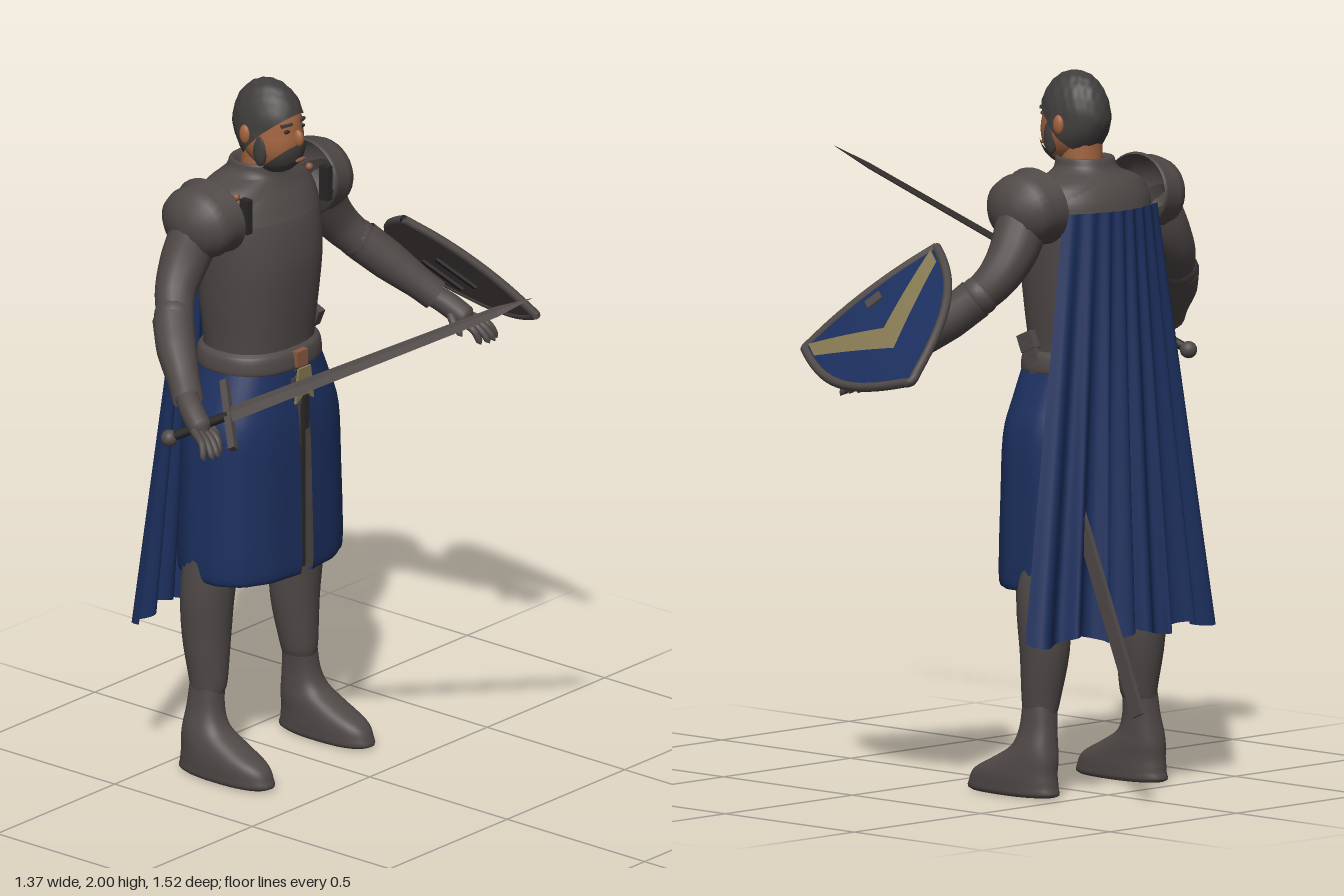
import * as THREE from 'three';
import { mergeVertices, toCreasedNormals } from 'three/addons/utils/BufferGeometryUtils.js';

const CX = -0.05; // body's plane of symmetry
const mat = (name, color, side = THREE.FrontSide) => {
  const m = new THREE.MeshStandardMaterial({ color, side });
  m.name = name;
  return m;
};

export function createModel() {
  const root = new THREE.Group();
  root.name = 'knight';
  const steel = mat('dark steel', 0x4f4947, THREE.DoubleSide);
  const hairMat = mat('dark hair', 0x413e3d);
  const blue = mat('navy cloth', 0x1c2f5e, THREE.DoubleSide);
  const tan = mat('tan', 0x857852, THREE.DoubleSide);
  const skin = mat('skin', 0xa0633f);
  const brown = mat('copper leather', 0x8a5a40);
  const dark = mat('black leather', 0x292626);

  const add = (name, geo, m, parent = root, x = 0, y = 0, z = 0) => {
    const o = new THREE.Mesh(geo, m);
    o.name = name;
    o.position.set(x, y, z);
    parent.add(o);
    return o;
  };
  const smooth = (g) => {
    g.deleteAttribute('uv');
    g.deleteAttribute('normal');
    const out = mergeVertices(g, 1e-5);
    out.computeVertexNormals();
    return out;
  };
  const box = (w, h, d) => new THREE.BoxGeometry(w, h, d);
  const ball = (a, b, c) => new THREE.SphereGeometry(1, 20, 14).scale(a, b, c);

  // Surface grid from a rule f(u, v) -> [x, y, z]
  const grid = (nu, nv, f) => {
    const pos = [], idx = [];
    for (let j = 0; j <= nv; j++) for (let i = 0; i <= nu; i++) pos.push(...f(i / nu, j / nv));
    for (let j = 0; j < nv; j++) for (let i = 0; i < nu; i++) {
      const a = j * (nu + 1) + i, b = a + 1, c = a + nu + 1, d = c + 1;
      idx.push(a, b, c, b, d, c);
    }
    const g = new THREE.BufferGeometry();
    g.setAttribute('position', new THREE.Float32BufferAttribute(pos, 3));
    g.setIndex(idx);
    return smooth(g);
  };
  // Loft through rising sections [y, x, z, halfWidth, halfDepth]
  const loft = (rows, { gap = 0, e = 1, ripple = 0 } = {}) => {
    const n = rows.length - 1;
    const spline = new THREE.CubicInterpolant(rows.map((_, i) => i), rows.flat(), 5);
    const pw = (q) => Math.sign(q) * Math.abs(q) ** e;
    return grid(48, n * 4, (u, v) => {
      const [y, x, z, rx, rz] = spline.evaluate(v * n);
      const a = gap + u * (2 * Math.PI - 2 * gap);
      const k = 1 + ripple * (1 - v) * Math.cos(a * 14);
      return [x + rx * k * pw(Math.sin(a)), y, z + rz * k * pw(Math.cos(a))];
    });
  };
  // Round limb through points [x, y, z, radius]
  const limb = (pts, seg = 16, sides = 16) => {
    const curve = new THREE.CatmullRomCurve3(pts.map((p) => new THREE.Vector3(p[0], p[1], p[2])));
    const g = new THREE.TubeGeometry(curve, seg, 1, sides);
    const p = g.attributes.position, v = new THREE.Vector3();
    for (let i = 0; i <= seg; i++) {
      const c = curve.getPointAt(i / seg);
      const t = curve.getUtoTmapping(i / seg) * (pts.length - 1);
      const k = Math.min(Math.floor(t), pts.length - 2);
      const r = THREE.MathUtils.lerp(pts[k][3], pts[k + 1][3], t - k);
      for (let j = 0; j <= sides; j++) {
        const q = i * (sides + 1) + j;
        v.fromBufferAttribute(p, q).sub(c).multiplyScalar(r).add(c);
        p.setXYZ(q, v.x, v.y, v.z);
      }
    }
    return smooth(g);
  };

  // Torso, gorget and belt
  add('breastplate', loft([
    [1.17, CX, -0.36, 0.16, 0.125], [1.25, CX, -0.36, 0.163, 0.132], [1.36, CX, -0.36, 0.176, 0.143],
    [1.48, CX, -0.36, 0.188, 0.15], [1.58, CX, -0.365, 0.195, 0.142], [1.65, CX, -0.372, 0.195, 0.125],
    [1.7, CX, -0.375, 0.165, 0.105], [1.73, CX, -0.365, 0.095, 0.085]], { e: 0.85 }), steel);
  add('gorget', loft([
    [1.615, CX, -0.37, 0.195, 0.146], [1.66, CX, -0.375, 0.19, 0.13], [1.7, CX, -0.375, 0.155, 0.108],
    [1.735, CX, -0.365, 0.09, 0.085], [1.765, CX, -0.36, 0.078, 0.078], [1.76, CX, -0.36, 0.066, 0.066],
    [1.72, CX, -0.355, 0.05, 0.05]], { e: 0.9 }), steel);
  add('belt', loft([
    [1.17, CX, -0.36, 0.17, 0.138], [1.18, CX, -0.36, 0.184, 0.15], [1.22, CX, -0.36, 0.18, 0.146],
    [1.235, CX, -0.36, 0.165, 0.132]], { e: 0.85 }), steel);
  add('buckle', box(0.045, 0.045, 0.02), brown, root, CX, 1.205, -0.21);
  const flap = new THREE.Shape([[-0.025, 0.05], [0.025, 0.05], [0.038, -0.05], [0.012, -0.035], [-0.012, -0.035],
    [-0.038, -0.05]].map((p) => new THREE.Vector2(...p)));
  add('beltFlap', new THREE.ExtrudeGeometry(flap, { depth: 0.008, bevelEnabled: false }), tan, root, CX, 1.13, -0.2);
  add('beltStrap', box(0.022, 0.1, 0.01), dark, root, CX, 1.05, -0.19);

  // Skirt open along the front, with a lining behind the slit
  add('skirt', loft([
    [0.575, CX, -0.355, 0.235, 0.15], [0.58, CX, -0.355, 0.254, 0.168], [0.64, CX, -0.355, 0.258, 0.172],
    [0.82, CX, -0.355, 0.254, 0.168], [1.0, CX, -0.355, 0.247, 0.162], [1.1, CX, -0.357, 0.215, 0.15],
    [1.19, CX, -0.36, 0.176, 0.142]], { gap: 0.05, e: 0.8, ripple: 0.012 }), blue);
  add('skirtLining', box(0.07, 0.56, 0.01), steel, root, CX, 0.87, -0.215);
  add('slitStrap', box(0.012, 0.48, 0.008), dark, root, CX, 0.83, -0.2);

  // Cape with folds
  add('cape', grid(96, 24, (u, v) => {
    const s = 2 * u - 1, w = 1 - v;
    const fold = (0.004 + 0.016 * w) * Math.cos(s * 8 * Math.PI + 0.6 * Math.sin(4 * s));
    return [CX - s * (0.185 + 0.18 * w) + 0.01 * w * Math.sin(s * 19),
      0.45 + 1.18 * v + 0.012 * w * Math.cos(s * 11), -0.522 - 0.042 * w + 0.06 * s * s + fold];
  }), blue);

  // Limbs, mirrored about the body's centre
  for (const s of [-1, 1]) {
    const side = s < 0 ? 'right' : 'left';
    const X = (x) => CX + s * x;
    add(side + 'Leg', loft([
      [0.235, X(0.195), -0.38, 0.045, 0.05], [0.27, X(0.192), -0.38, 0.052, 0.056], [0.4, X(0.188), -0.39, 0.069, 0.069],
      [0.55, X(0.185), -0.385, 0.079, 0.076], [0.8, X(0.15), -0.37, 0.085, 0.085],
      [1.1, X(0.1), -0.36, 0.085, 0.09]]), steel);
    add(side + 'Boot', loft([
      [0, X(0.213), -0.295, 0.003, 0.01], [0.002, X(0.213), -0.295, 0.055, 0.15], [0.03, X(0.213), -0.295, 0.062, 0.156],
      [0.065, X(0.213), -0.305, 0.062, 0.142], [0.105, X(0.211), -0.345, 0.058, 0.102],
      [0.14, X(0.209), -0.372, 0.052, 0.07], [0.19, X(0.203), -0.38, 0.045, 0.055],
      [0.26, X(0.196), -0.38, 0.044, 0.048]], { e: 0.85 }), steel);

    // Pauldron: a dome with a raised inner flange
    const dome = [[0.104, 0], [0.11, 0.008], [0.1, 0.03], [0.104, 0.06], [0.096, 0.09], [0.07, 0.118], [0.035, 0.132], [0, 0.136]];
    const pauldron = add(side + 'Pauldron', smooth(new THREE.LatheGeometry(dome.map((p) => new THREE.Vector2(...p)), 32)),
      steel, root, X(0.19), 1.647, -0.365);
    pauldron.scale.set(1, 1, 1.14);
    pauldron.rotation.z = -s * (Math.PI / 2 + 0.12);
    add(side + 'ShoulderStrap', box(0.022, 0.1, 0.03), dark, root, X(0.17), 1.66, -0.262);
    add(side + 'StrapRivet', ball(0.011, 0.011, 0.011), brown, root, X(0.155), 1.7, -0.31);

    // Arm with elbow guard and vambrace
    add(side + 'UpperArm', limb([[X(0.25), 1.62, -0.37, 0.075], [X(0.3), 1.53, -0.378, 0.068],
      [X(0.35), 1.46, -0.365, 0.058], [X(0.4), 1.395, -0.32, 0.05]]), steel);
    add(side + 'ElbowGuard', ball(0.056, 0.056, 0.056), steel, root, X(0.39), 1.412, -0.335);
    add(side + 'Vambrace', limb([[X(0.4), 1.405, -0.33, 0.058], [X(0.45), 1.345, -0.275, 0.056],
      [X(0.5), 1.28, -0.205, 0.045], [X(0.527), 1.245, -0.168, 0.044]]), steel);
    add(side + 'Palm', limb([[X(0.52), 1.25, -0.18, 0.032], [X(0.545), 1.22, -0.135, 0.034],
      [X(0.562), 1.188, -0.09, 0.034], [X(0.567), 1.178, -0.075, 0.012]]), steel);
    for (let i = 0; i < 4; i++) {
      const k = i - 1.5;
      add(side + 'Finger' + (i + 1), limb([[X(0.563 + 0.016 * k), 1.188, -0.095, 0.012],
        [X(0.578 + 0.021 * k), 1.165, -0.045, 0.011], [X(0.588 + 0.023 * k), 1.132, -0.012 - 0.012 * Math.abs(k), 0.009],
        [X(0.589 + 0.023 * k), 1.126, -0.008 - 0.012 * Math.abs(k), 0.001]], 10, 8), steel);
    }
    add(side + 'Thumb', limb([[X(0.54), 1.215, -0.13, 0.014], [X(0.518), 1.185, -0.095, 0.012],
      [X(0.515), 1.155, -0.065, 0.008], [X(0.515), 1.152, -0.062, 0.001]], 10, 8), steel);
  }

  // Head: skull, hair and beard share one jaw shape
  const head = new THREE.Group();
  head.name = 'head';
  head.position.set(CX, 1.87, -0.325);
  root.add(head);
  const skull = (theta, tilt, grow, bump) => {
    const g = new THREE.SphereGeometry(1, 48, 28, 0, Math.PI * 2, 0, theta).rotateX(tilt);
    const p = g.attributes.position;
    for (let i = 0; i < p.count; i++) {
      const x = p.getX(i), y = p.getY(i), z = p.getZ(i);
      const k = grow + bump * Math.sin(13 * x + 5 * z) * Math.sin(15 * z + 4 * y) * Math.cos(11 * y);
      const jaw = Math.max(0, -y);
      p.setXYZ(i, 0.079 * k * x * (1 + 0.22 * jaw), 0.125 * k * y, 0.105 * k * (z + 0.27 * jaw));
    }
    return smooth(g);
  };
  add('face', skull(Math.PI, 0, 1, 0), skin, head);
  add('hair', skull(1.775, -0.6, 1.06, 0.022), hairMat, head);
  add('beard', skull(0.78, 2.6, 1.055, 0.008), hairMat, head);
  add('nose', ball(0.013, 0.026, 0.02), skin, head, 0, -0.018, 0.106);
  add('mouth', ball(0.022, 0.006, 0.006), brown, head, 0, -0.078, 0.117);
  add('neck', new THREE.CylinderGeometry(0.055, 0.06, 0.16, 24), skin, head, 0, -0.12, -0.025);
  for (const s of [-1, 1]) {
    add('ear', ball(0.012, 0.028, 0.018), skin, head, s * 0.083, -0.012, -0.015);
    add('eye', ball(0.012, 0.006, 0.006), dark, head, s * 0.031, 0.007, 0.094);
    add('eyebrow', box(0.034, 0.008, 0.012), hairMat, head, s * 0.032, 0.026, 0.092).rotation.set(0, s * 0.4, -s * 0.1);
    add('sideburn', ball(0.014, 0.05, 0.024), hairMat, head, s * 0.069, -0.05, 0.028);
  }

  // Places a group by its local axes
  const frame = (name, o, x, y) => {
    const g = new THREE.Group(), vx = new THREE.Vector3(...x).normalize(), vy = new THREE.Vector3(...y).normalize();
    g.name = name;
    g.quaternion.setFromRotationMatrix(new THREE.Matrix4().makeBasis(vx, vy, vx.clone().cross(vy).normalize()));
    g.position.set(...o);
    root.add(g);
    return g;
  };

  // Sword in the right hand
  const sword = frame('sword', [-0.565, 1.23, -0.03], [0.525, 0.613, -0.591], [0.379, 0.448, 0.809]);
  const bladePart = (r1, r2, h) => toCreasedNormals(new THREE.CylinderGeometry(r1, r2, h, 4).scale(1, 1, 0.35), 0.3);
  add('blade', bladePart(0.017, 0.025, 0.86), steel, sword, 0, 0.43, 0);
  add('bladeTip', bladePart(0, 0.017, 0.115), steel, sword, 0, 0.9175, 0);
  add('crossGuard', box(0.22, 0.02, 0.022), steel, sword);
  add('grip', new THREE.CylinderGeometry(0.013, 0.013, 0.18, 12), dark, sword, 0, -0.09, 0);
  add('pommel', ball(0.024, 0.024, 0.024), steel, sword, 0, -0.19, 0);

  // Scabbard at the left hip
  const scabbard = frame('scabbard', [0.125, 1.27, -0.31], [1, 0, 0], [0, 0.92, 0.392]);
  add('sheath', box(0.014, 1.1, 0.042), steel, scabbard, 0, -0.55, 0);
  add('sheathMouth', box(0.026, 0.05, 0.054), steel, scabbard, 0, -0.01, 0);

  // Shield on the left arm: bowed heater plate, rim and chevron
  const shield = frame('shield', [0.4335, 1.385, -0.003], [-0.527, 0.618, -0.584], [-0.459, 0.375, 0.805]);
  const halfWidth = (t) => 0.232 * (1 - Math.min(1, Math.max(0, t)) ** 2.6);
  const bow = (x) => 0.018 * (1 - (x / 0.235) ** 2);
  const plate = (lift) => grid(24, 24, (u, v) => {
    const x = (2 * u - 1) * halfWidth(1 - v);
    return [x, -0.485 * (1 - v), bow(x) + lift];
  });
  add('shieldFace', plate(0), blue, shield);
  add('shieldBack', plate(-0.012), steel, shield);
  add('chevron', grid(32, 2, (u, v) => {
    const s = 2 * u - 1, x = 0.215 * s, a = Math.abs(s);
    return [x, THREE.MathUtils.lerp(-0.31 + 0.235 * a, -0.2 + 0.19 * a, v), bow(x) + 0.005];
  }), tan, shield);
  add('shieldBoss', box(0.05, 0.035, 0.006), steel, shield, 0.01, -0.055, 0.021);
  const rim = [];
  for (let i = 0; i <= 48; i++) { // down one edge, up the other
    const s = i < 24 ? 1 : -1, t = 1 - Math.abs(1 - i / 24), x = s * halfWidth(t);
    rim.push([x, -0.485 * t, bow(x) - 0.004, 0.013]);
  }
  add('shieldRim', limb(rim, 96, 10), steel, shield);
  const top = [-1, -0.5, 0, 0.5, 1].map((s) => [s * 0.232, 0, bow(s * 0.232) - 0.004, 0.013]);
  add('shieldTopRim', limb(top, 16, 10), steel, shield);
  for (const y of [-0.1, -0.22]) add('armStrap', box(0.14, 0.025, 0.008), dark, shield, 0, y, -0.02);

  return root;
}
